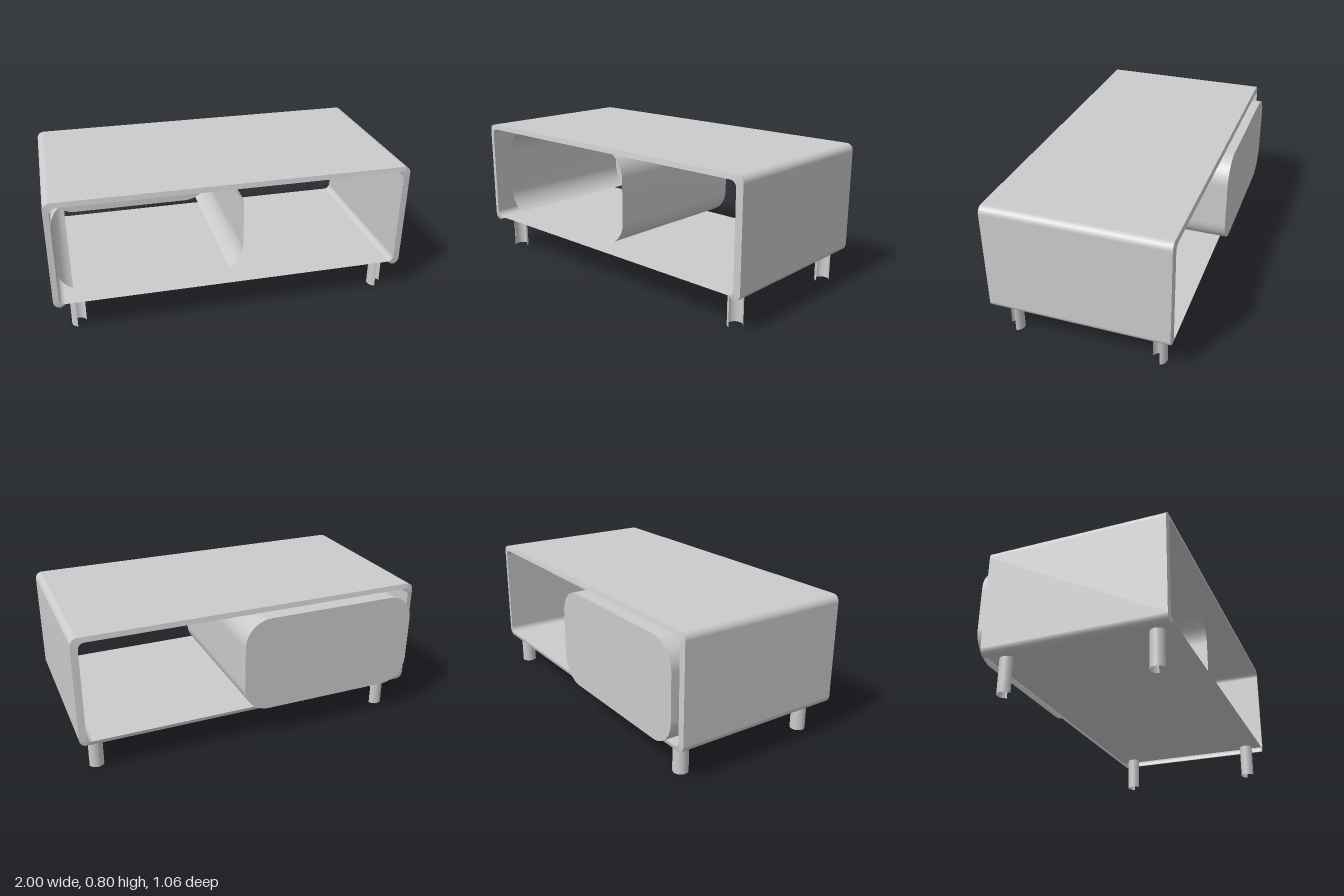
import * as THREE from 'three';

const material = new THREE.MeshStandardMaterial({ color: 0xcccccc, side: THREE.DoubleSide });

// Rounded rectangle, counter-clockwise from the bottom right corner to the bottom left one.
// `low` is how many degrees of the two bottom corners are kept.
function outline(x0, x1, y0, y1, r, low = 90, steps = 10) {
  const corners = [
    [x1 - r, y0 + r, -low, 0], [x1 - r, y1 - r, 0, 90],
    [x0 + r, y1 - r, 90, 180], [x0 + r, y0 + r, 180, 180 + low],
  ];
  const points = [];
  for (const [cx, cy, from, to] of corners) {
    for (let i = 0; i <= steps; i++) {
      const a = THREE.MathUtils.degToRad(from + (to - from) * i / steps);
      points.push(new THREE.Vector2(cx + r * Math.cos(a), cy + r * Math.sin(a)));
    }
  }
  return points;
}

// Strip of faces between two outlines, optionally closed along the bottom
function loft(a, za, b, zb, closed) {
  const positions = [], index = [], n = a.length;
  for (let i = 0; i < n; i++) {
    positions.push(a[i].x, a[i].y, za, b[i].x, b[i].y, zb);
  }
  for (let i = 0; i < (closed ? n : n - 1); i++) {
    const p = 2 * i, q = 2 * ((i + 1) % n);
    index.push(p, q, q + 1, p, q + 1, p + 1);
  }
  const geometry = new THREE.BufferGeometry();
  geometry.setAttribute('position', new THREE.Float32BufferAttribute(positions, 3));
  geometry.setIndex(index);
  geometry.computeVertexNormals();
  return geometry;
}

export function createModel() {
  const model = new THREE.Group();
  const add = (parent, name, geometry) => {
    const mesh = new THREE.Mesh(geometry, material);
    mesh.name = name;
    parent.add(mesh);
    return mesh;
  };

  // Casing: outer skin open underneath, inner sleeve, and slightly raised rims
  const casing = new THREE.Group();
  casing.name = 'casing';
  model.add(casing);
  const outer = outline(-1, 1, 0.178, 0.804, 0.04);
  const inner = outline(-0.968, 0.962, 0.2, 0.776, 0.035);
  add(casing, 'outerSkin', loft(outer, -0.478, outer, 0.525, false));
  add(casing, 'frontRim', loft(outer, 0.525, inner, 0.53, false));
  add(casing, 'innerSleeve', loft(inner, 0.53, inner, -0.484, true));
  add(casing, 'backRim', loft(inner, -0.484, outer, -0.478, true));

  // Drawer: rounded wall open at the front and underneath, closed by a back panel
  const drawer = new THREE.Group();
  drawer.name = 'drawer';
  model.add(drawer);
  const wall = outline(-0.967, 0.08, 0.201, 0.756, 0.15, 62);
  add(drawer, 'drawerWall', loft(wall, -0.53, wall, 0.41, false));
  const panel = new THREE.ShapeGeometry(new THREE.Shape(outline(-0.08, 0.967, 0.201, 0.756, 0.15)));
  add(drawer, 'drawerPanel', panel.rotateY(Math.PI).translate(0, 0, -0.53));

  // Legs: partial tubes with the gap towards the front
  const legGeometry = new THREE.CylinderGeometry(
    0.042, 0.042, 0.2, 24, 1, true, THREE.MathUtils.degToRad(105), THREE.MathUtils.degToRad(240));
  for (const [z, end] of [[0.43, 'front'], [-0.395, 'back']]) {
    for (const [x, side] of [[0.905, 'Left'], [-0.87, 'Right']]) {
      add(model, `${end}${side}Leg`, legGeometry).position.set(x, 0.1, z);
    }
  }

  return model;
}
